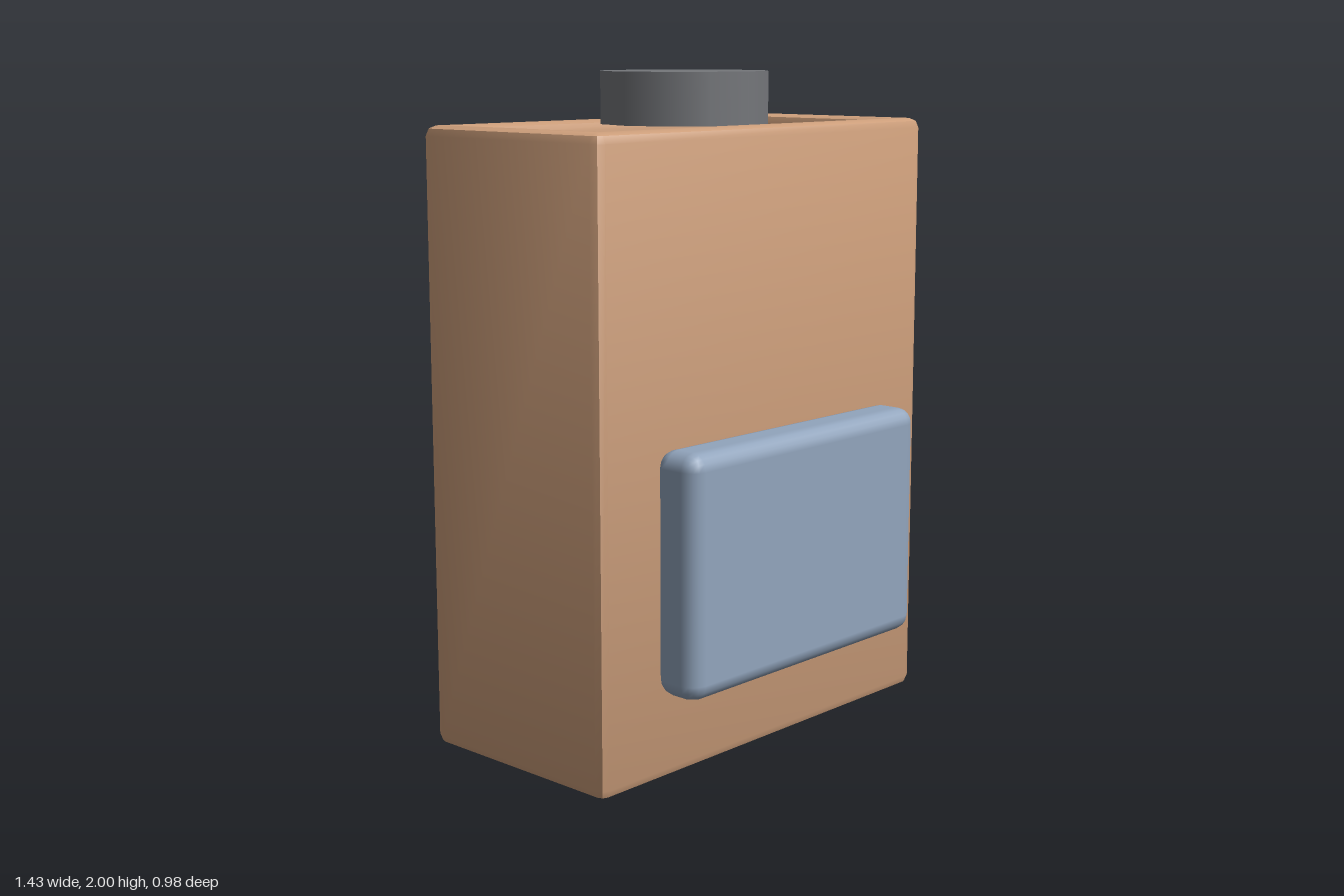
import * as THREE from 'three';
import { toCreasedNormals } from 'three/addons/utils/BufferGeometryUtils.js';
import { RoundedBoxGeometry } from 'three/addons/geometries/RoundedBoxGeometry.js';

const HALF_X = 0.715, HALF_Z = 0.3575, HEIGHT = 1.85, WALL = 0.085, BEVEL = 0.03;
const CENTRE_Z = -0.0275;

const tan = new THREE.MeshStandardMaterial({ color: 0xcfa07c });
const blue = new THREE.MeshStandardMaterial({ color: 0x92a5bd });
const grey = new THREE.MeshStandardMaterial({ color: 0x75777b });

// Horizontal ring around the shell, inset from the outside; three points per corner
function ring(inset, y) {
  const points = [];
  const r = Math.max(BEVEL - inset, 0), edge = Math.max(BEVEL, inset);
  for (let corner = 0; corner < 4; corner++) {
    const sx = corner === 0 || corner === 3 ? 1 : -1;
    const sz = corner < 2 ? 1 : -1;
    for (let k = 0; k < 3; k++) {
      const a = corner * Math.PI / 2 + k * Math.PI / 4;
      points.push([sx * (HALF_X - edge) + r * Math.cos(a), y, sz * (HALF_Z - edge) + r * Math.sin(a)]);
    }
  }
  return points;
}

// Hollow shell: a bevelled wall section carried round the rectangle
function shellGeometry() {
  const c = BEVEL * (1 - Math.SQRT1_2);
  const topHalf = [
    [0, HEIGHT - BEVEL], [c, HEIGHT - c], [BEVEL, HEIGHT],
    [WALL - BEVEL, HEIGHT], [WALL - c, HEIGHT - c], [WALL, HEIGHT - BEVEL],
  ];
  const bottomHalf = topHalf.map(([d, y]) => [d, HEIGHT - y]).reverse();
  const rings = [...topHalf, ...bottomHalf].map(([d, y]) => ring(d, y));
  const n = rings[0].length, m = rings.length, index = [];
  for (let j = 0; j < m; j++) {
    for (let i = 0; i < n; i++) {
      const a = j * n + i, b = j * n + (i + 1) % n;
      const up = ((j + 1) % m) * n;
      const d = up + i, e = up + (i + 1) % n;
      index.push(a, d, b, b, d, e);
    }
  }
  const geometry = new THREE.BufferGeometry();
  geometry.setAttribute('position', new THREE.Float32BufferAttribute(rings.flat(2), 3));
  geometry.setIndex(index);
  return toCreasedNormals(geometry, 0.6);
}

export function createModel() {
  const group = new THREE.Group();
  const add = (name, geometry, material, x, y, z) => {
    const mesh = new THREE.Mesh(geometry, material);
    mesh.name = name;
    mesh.position.set(x, y, z);
    group.add(mesh);
  };

  // Open-topped body with a separate floor panel
  add('bodyShell', shellGeometry(), tan, 0, 0, CENTRE_Z);
  add('floorPanel', new RoundedBoxGeometry(1.245, 0.09, 0.525, 2, 0.025), tan, 0, 0.06, CENTRE_Z);

  // Twelve-sided cap level with the rim
  add('cap', new THREE.CylinderGeometry(0.257, 0.257, 0.155, 12), grey, 0, 1.9225, CENTRE_Z);

  // Front pocket
  add('frontPocket', new RoundedBoxGeometry(1.02, 0.71, 0.155, 2, 0.05), blue, 0, 0.62, 0.4075);

  // Pair of straps on the back
  for (const side of [1, -1]) {
    add(side > 0 ? 'leftStrap' : 'rightStrap',
      new RoundedBoxGeometry(0.255, 1.535, 0.1, 2, 0.035), grey, side * 0.4125, 1.03, -0.44);
  }
  return group;
}
